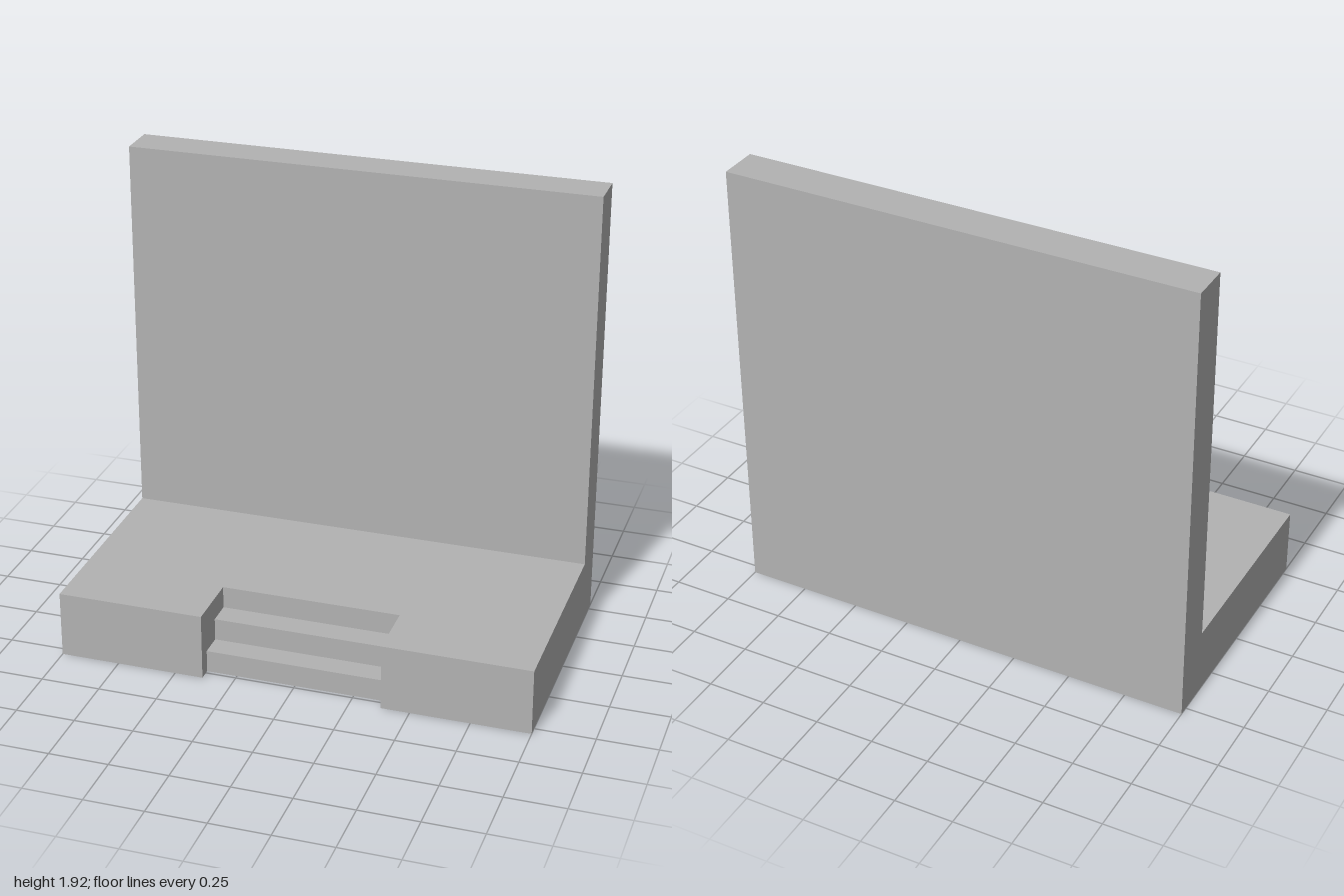
import * as THREE from 'three';

const W = 1, STAIR = 0.38;                                // half widths
const FRONT = 0.54, BACK = -0.54, WALL = -0.37, RECESS = 0.28;
const DECK = 0.285, TOP = 1.92;

export function createModel() {
  const group = new THREE.Group();
  const grey = new THREE.MeshStandardMaterial({ color: 0xb2b2b2, side: THREE.DoubleSide });
  grey.name = 'plainGrey';

  const add = (name, geometry) => {
    const mesh = new THREE.Mesh(geometry, grey);
    mesh.name = name;
    group.add(mesh);
  };

  // Sweep a [z, y] profile, running from front to back, across x0..x1
  const sweep = (name, x0, x1, profile) => {
    const pos = [];
    for (let i = 0; i < profile.length - 1; i++) {
      const [za, ya] = profile[i], [zb, yb] = profile[i + 1];
      pos.push(x0, ya, za, x1, ya, za, x1, yb, zb);
      pos.push(x0, ya, za, x1, yb, zb, x0, yb, zb);
    }
    const g = new THREE.BufferGeometry();
    g.setAttribute('position', new THREE.Float32BufferAttribute(pos, 3));
    g.computeVertexNormals();
    add(name, g);
  };

  // Flat upright panel with a [z, y] outline at x, facing the +x or -x side
  const panel = (name, x, facing, outline) => {
    const shape = new THREE.Shape(outline.map(([z, y]) => new THREE.Vector2(-facing * z, y)));
    add(name, new THREE.ShapeGeometry(shape).rotateY(facing * Math.PI / 2).translate(x, 0, 0));
  };

  // Platform top, then the wall's front, top and back; the underside stays open
  sweep('platformAndWall', -W, W,
    [[RECESS, DECK], [WALL, DECK], [WALL, TOP], [BACK, TOP], [BACK, 0]]);

  // Steps set into the platform
  sweep('steps', -STAIR, STAIR,
    [[0.485, 0], [0.485, 0.095], [0.385, 0.095], [0.385, 0.19], [RECESS, 0.19], [RECESS, DECK]]);

  for (const s of [-1, 1]) {
    const side = s > 0 ? 'left' : 'right';
    // Platform blocks beside the steps
    sweep(side + 'PlatformFront', s > 0 ? STAIR : -W, s > 0 ? W : -STAIR,
      [[FRONT, 0], [FRONT, DECK], [RECESS, DECK]]);
    // Cheek of the stair recess
    panel(side + 'RecessCheek', s * STAIR, -s,
      [[FRONT, 0], [FRONT, DECK], [RECESS, DECK], [RECESS, 0]]);
    // L-shaped outer end
    panel(side + 'End', s * W, s,
      [[FRONT, 0], [FRONT, DECK], [WALL, DECK], [WALL, TOP], [BACK, TOP], [BACK, 0]]);
  }
  return group;
}
